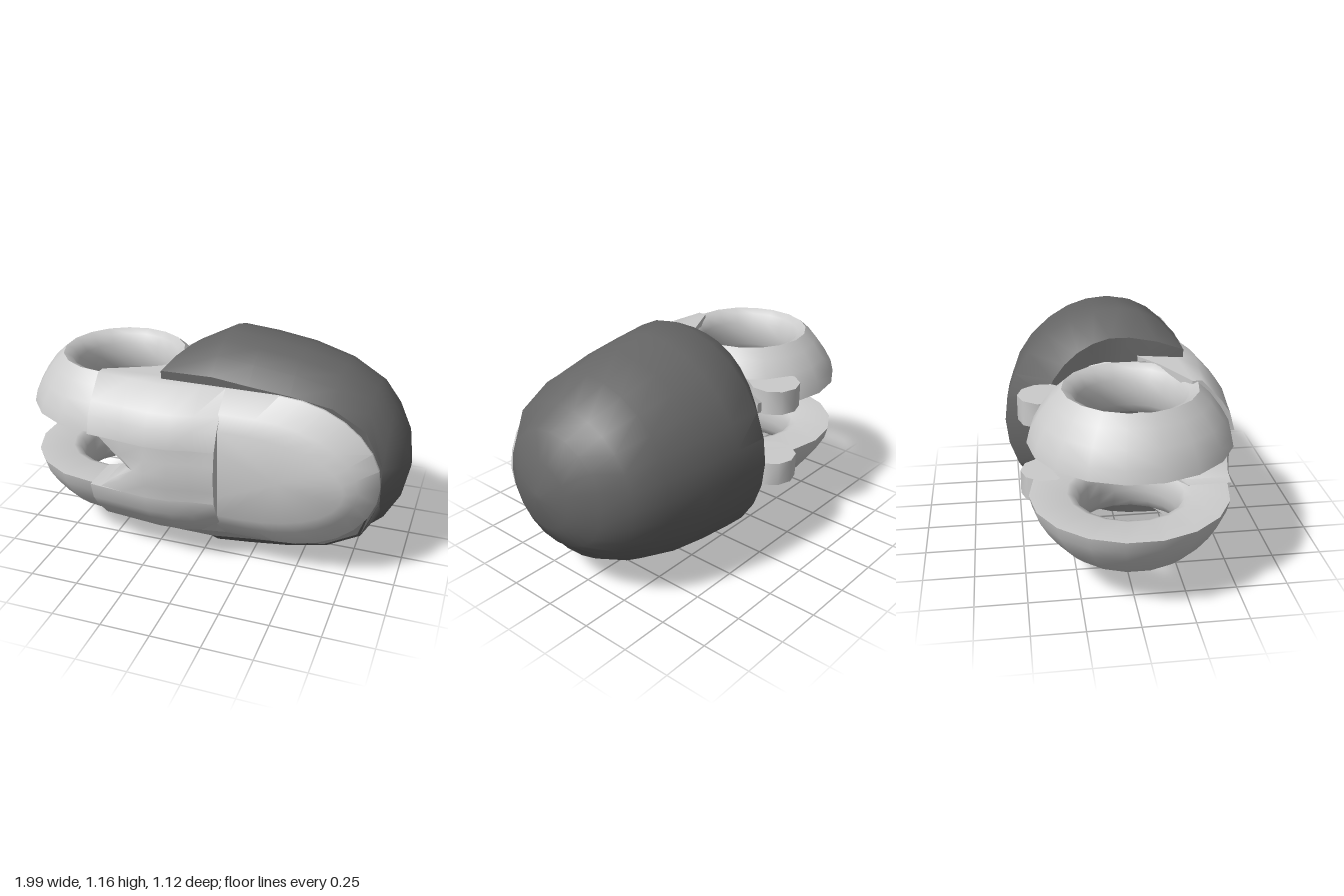
import * as THREE from 'three';
import { toCreasedNormals } from 'three/addons/utils/BufferGeometryUtils.js';

const MID = 0.58; // height of the mirror plane
const light = new THREE.MeshStandardMaterial({ color: 0xcccccc });
const dark = new THREE.MeshStandardMaterial({ color: 0x666666 });

// Closed solid through a list of equal-length point loops, capped at both ends.
function loft(loops, crease) {
  const n = loops[0].length, pos = loops.flat(2), idx = [];
  for (let r = 0; r < loops.length - 1; r++) {
    for (let i = 0; i < n; i++) {
      const a = r * n + i, b = r * n + (i + 1) % n;
      idx.push(a, b, b + n, a, b + n, a + n);
    }
  }
  [0, loops.length - 1].forEach((r) => {
    const c = pos.length / 3;
    for (let k = 0; k < 3; k++) pos.push(loops[r].reduce((s, p) => s + p[k], 0) / n);
    for (let i = 0; i < n; i++) {
      const a = r * n + i, b = r * n + (i + 1) % n;
      if (r === 0) idx.push(c, b, a); else idx.push(c, a, b);
    }
  });
  // Turn the faces outward by the sign of the enclosed volume
  const v = (i) => new THREE.Vector3().fromArray(pos, i * 3);
  let volume = 0;
  for (let i = 0; i < idx.length; i += 3) volume += v(idx[i]).dot(v(idx[i + 1]).cross(v(idx[i + 2])));
  if (volume < 0) idx.reverse();
  const g = new THREE.BufferGeometry();
  g.setAttribute('position', new THREE.Float32BufferAttribute(pos, 3));
  g.setIndex(idx);
  return toCreasedNormals(g, crease);
}

function part(name, geometry, material) {
  const m = new THREE.Mesh(geometry, material);
  m.name = name;
  return m;
}

// Dark shell: arcs along x that end on the flat front at z = 0.32
function shellGeometry() {
  const stations = [ // x, half height, front depth, back depth
    [-0.11, 0.49, 0.66, 0.42], [0.07, 0.58, 0.45, 0.59], [0.25, 0.565, 0.435, 0.575],
    [0.45, 0.535, 0.437, 0.55], [0.65, 0.48, 0.45, 0.49], [0.81, 0.39, 0.41, 0.42],
    [0.9, 0.29, 0.29, 0.31], [0.97, 0.17, 0.17, 0.17], [1, 0.02, 0.02, 0.02],
  ];
  const n = 20;
  return loft(stations.map(([x, h, f, b], s) => Array.from({ length: n + 1 }, (_, i) => {
    const start = Math.acos(Math.min(1, 0.29 / f));
    const a = start + (i / n) * (Math.PI - start) * 2, c = Math.cos(a);
    const z = 0.03 + c * (c > 0 ? f : b);
    const slant = s === 0 ? 0.25 * Math.max(0, z) : 0;
    return [x - slant, MID + Math.sin(a) * h, z];
  })), 0.8);
}

// Front plate: D-shaped outlines stacked toward the front
function plateGeometry() {
  const layers = [[0.25, 0.4, 0.9], [0.33, 0.4, 0.9], [0.41, 0.3, 0.81], [0.45, 0.23, 0.75]];
  return loft(layers.map(([z, h, end]) => {
    const loop = [[-0.1, MID - h, z], [0.15, MID - h, z]];
    for (let i = 0; i <= 14; i++) {
      const a = (i / 14 - 0.5) * Math.PI;
      loop.push([end - 0.5 + 0.5 * Math.cos(a), MID + h * Math.sin(a), z]);
    }
    loop.push([0.15, MID + h, z], [-0.1, MID + h, z]);
    return loop;
  }), 0.9);
}

// Bulging front bridge with a V notch between the two rings
function bridgeGeometry() {
  const half = [ // height from middle, left edge, front depth, drop at the right edge
    [0.4, -0.51, 0.38, 0.05], [0.29, -0.51, 0.48, 0.065], [0.23, -0.51, 0.52, 0.06],
    [0.14, -0.51, 0.545, 0.045], [0.139, -0.45, 0.545, 0.045], [0.07, -0.37, 0.555, 0.045],
  ];
  const rows = [
    ...half.map(([d, ...rest]) => [-d, ...rest]),
    [0, -0.29, 0.56, 0.045],
    ...half.slice().reverse(),
  ];
  return loft(rows.map(([d, l, f, drop]) => [
    [l, 0.3], [l, f - 0.035], [Math.max(l, -0.36) + 0.03, f - 0.015], [-0.2, f], [-0.08, f - 0.005],
    [0.02, f - 0.03], [0.14, f - drop], [0.14, 0.1], [-0.15, 0.1], [Math.max(l, -0.28), 0.19],
  ].map(([x, z]) => [x, MID + d, z])), 0.9);
}

// Revolved solid around y, heights measured from the middle
function lathe(points, segments, crease) {
  const g = new THREE.LatheGeometry(points.map(([r, y]) => new THREE.Vector2(r, y)), segments);
  return toCreasedNormals(g, crease);
}

export function createModel() {
  const group = new THREE.Group();
  group.add(part('shell', shellGeometry(), dark));
  group.add(part('frontPlate', plateGeometry(), light));
  group.add(part('bridge', bridgeGeometry(), light));

  // Ring: flat inner side, sloping outer wall, rounded hole
  const ring = lathe([
    [0.3, 0.14], [0.48, 0.14], [0.465, 0.2], [0.425, 0.27], [0.37, 0.345], [0.315, 0.395],
    [0.275, 0.375], [0.248, 0.33], [0.238, 0.27], [0.243, 0.2], [0.265, 0.155], [0.3, 0.14],
  ], 18, 1.0);
  // Knob where the ring meets the shell at the back
  const knob = lathe([[0, 0.14], [0.13, 0.14], [0.13, 0.265], [0, 0.265]], 10, 0.8);
  // Web filling the gap between ring, knob and shell: x, z, top height
  const webOutline = [
    [-0.2, 0.28, 0.4], [-0.2, 0, 0.385], [-0.24, -0.18, 0.36], [-0.36, -0.42, 0.2],
    [-0.1, -0.38, 0.2], [-0.06, -0.2, 0.36], [-0.04, 0, 0.41], [-0.04, 0.28, 0.41],
  ];
  const web = loft([
    webOutline.map(([x, z]) => [x, 0.145, z]),
    webOutline.map(([x, z, top]) => [x, top, z]),
  ], 0.9);

  for (const side of [1, -1]) {
    const clasp = new THREE.Group();
    clasp.name = side > 0 ? 'upperRing' : 'lowerRing';
    const loop = part('ring', ring, light);
    loop.position.set(-0.52, 0, 0.01);
    const nub = part('knob', knob, light);
    nub.position.set(-0.25, 0, -0.37);
    clasp.add(loop, nub, part('web', web, light));
    clasp.position.y = MID;
    clasp.scale.y = side; // mirrored below the middle
    group.add(clasp);
  }
  return group;
}
